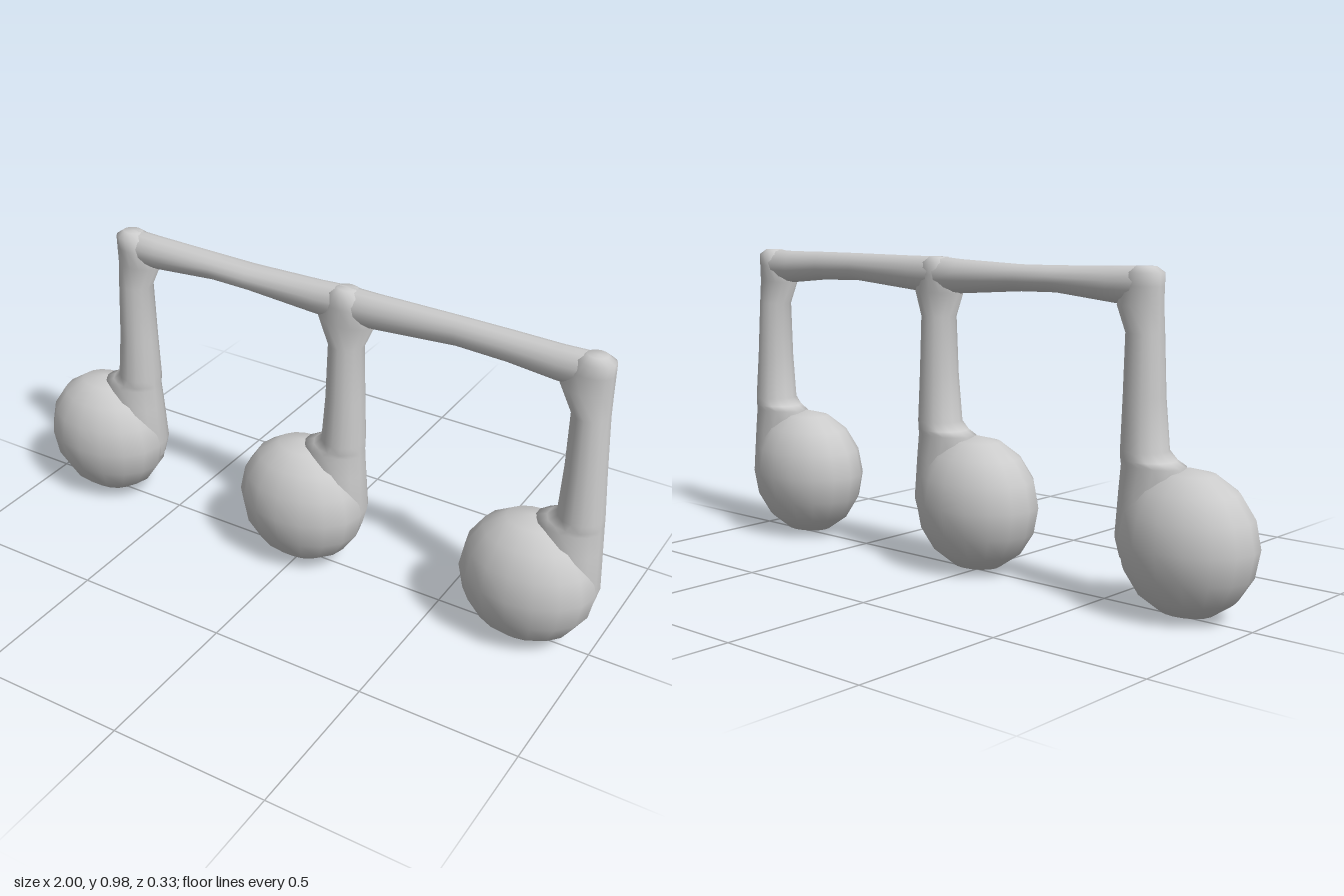
import * as THREE from 'three';

const SIDES = 14;
const Z = -0.024; // stems and beam sit slightly behind the heads' centre plane
const grey = new THREE.MeshStandardMaterial({ color: 0xcccccc });

// Skin a row of elliptical rings; each ring is [centre, u, v] with u x v along the row
function loft(rings) {
  const pos = [], index = [];
  rings.forEach(([c, u, v], i) => {
    for (let j = 0; j < SIDES; j++) {
      const a = (j / SIDES) * Math.PI * 2;
      const p = c.clone().addScaledVector(u, Math.cos(a)).addScaledVector(v, Math.sin(a));
      pos.push(p.x, p.y, p.z);
      if (i === rings.length - 1) continue;
      const k = (j + 1) % SIDES, r = i * SIDES, n = r + SIDES;
      index.push(r + j, r + k, n + j, r + k, n + k, n + j);
    }
  });
  const g = new THREE.BufferGeometry();
  g.setAttribute('position', new THREE.Float32BufferAttribute(pos, 3));
  g.setIndex(index);
  g.computeVertexNormals();
  return g;
}

const V = (x, y, z) => new THREE.Vector3(x, y, z);
// Upright ring from x0 to x1 at height y
const stemRing = (y, x0, x1, rz) => [V((x0 + x1) / 2, y, Z), V(0, 0, rz), V((x1 - x0) / 2, 0, 0)];
// Beam ring from y0 to y1 at position x
const beamRing = (x, y0, y1, rz) => [V(x, (y0 + y1) / 2, Z - 0.003), V(0, (y1 - y0) / 2, 0), V(0, 0, rz)];

function add(parent, name, geometry) {
  const mesh = new THREE.Mesh(geometry, grey);
  mesh.name = name;
  parent.add(mesh);
  return mesh;
}

// Note: oval head, with a stem on its +x side that flares into the beam.
// a, b: stem edges below the beam; fa, fb: flared edges at the beam
function note(x, a, b, fa, fb) {
  const group = new THREE.Group();
  group.name = 'note';
  group.position.x = x;
  const head = add(group, 'head', new THREE.SphereGeometry(1, 16, 8));
  head.scale.set(0.214, 0.215, 0.165);
  head.position.y = 0.218;

  const mid = (a + b) / 2;
  add(group, 'stem', loft([
    stemRing(0.16, 0.08, 0.198, 0.07),
    stemRing(0.22, 0.06, 0.213, 0.085),
    stemRing(0.36, 0.02, 0.207, 0.08),
    stemRing(0.43, 0.0, 0.204, 0.075),
    stemRing(0.445, 0.035, 0.203, 0.074),
    stemRing(0.47, 0.064, 0.202, 0.072),
    stemRing(0.62, (a + 0.07) / 2, (b + 0.202) / 2, 0.061),
    stemRing(0.8, a, b, 0.053),
    stemRing(0.875, fa, fb, 0.05),
    stemRing(0.93, (a + fa) / 2, (b + fb) / 2, 0.049),
    stemRing(0.967, a, b, 0.047),
    stemRing(0.984, a + 0.025, b - 0.025, 0.026),
    stemRing(0.985, mid, mid, 0),
  ]));
  return group;
}

export function createModel() {
  const model = new THREE.Group();
  model.name = 'beamedNotes';
  model.add(
    note(-0.785, 0.083, 0.196, 0.083, 0.232),
    note(0, 0.08, 0.194, 0.042, 0.228),
    note(0.785, 0.072, 0.183, 0.03, 0.183),
  );

  // Beam: dips slightly between the stems
  add(model, 'beam', loft([
    beamRing(-0.67, 0.925, 0.925, 0),
    beamRing(-0.665, 0.89, 0.975, 0.035),
    beamRing(-0.63, 0.875, 0.985, 0.045),
    beamRing(-0.54, 0.877, 0.981, 0.047),
    beamRing(-0.33, 0.896, 0.975, 0.05),
    beamRing(-0.2, 0.893, 0.973, 0.049),
    beamRing(0.04, 0.875, 0.98, 0.046),
    beamRing(0.13, 0.87, 0.986, 0.045),
    beamRing(0.23, 0.875, 0.984, 0.044),
    beamRing(0.5, 0.896, 0.984, 0.041),
    beamRing(0.66, 0.89, 0.983, 0.042),
    beamRing(0.81, 0.875, 0.981, 0.044),
    beamRing(0.91, 0.875, 0.984, 0.045),
    beamRing(0.945, 0.89, 0.972, 0.03),
    beamRing(0.95, 0.93, 0.93, 0),
  ]));
  return model;
}
